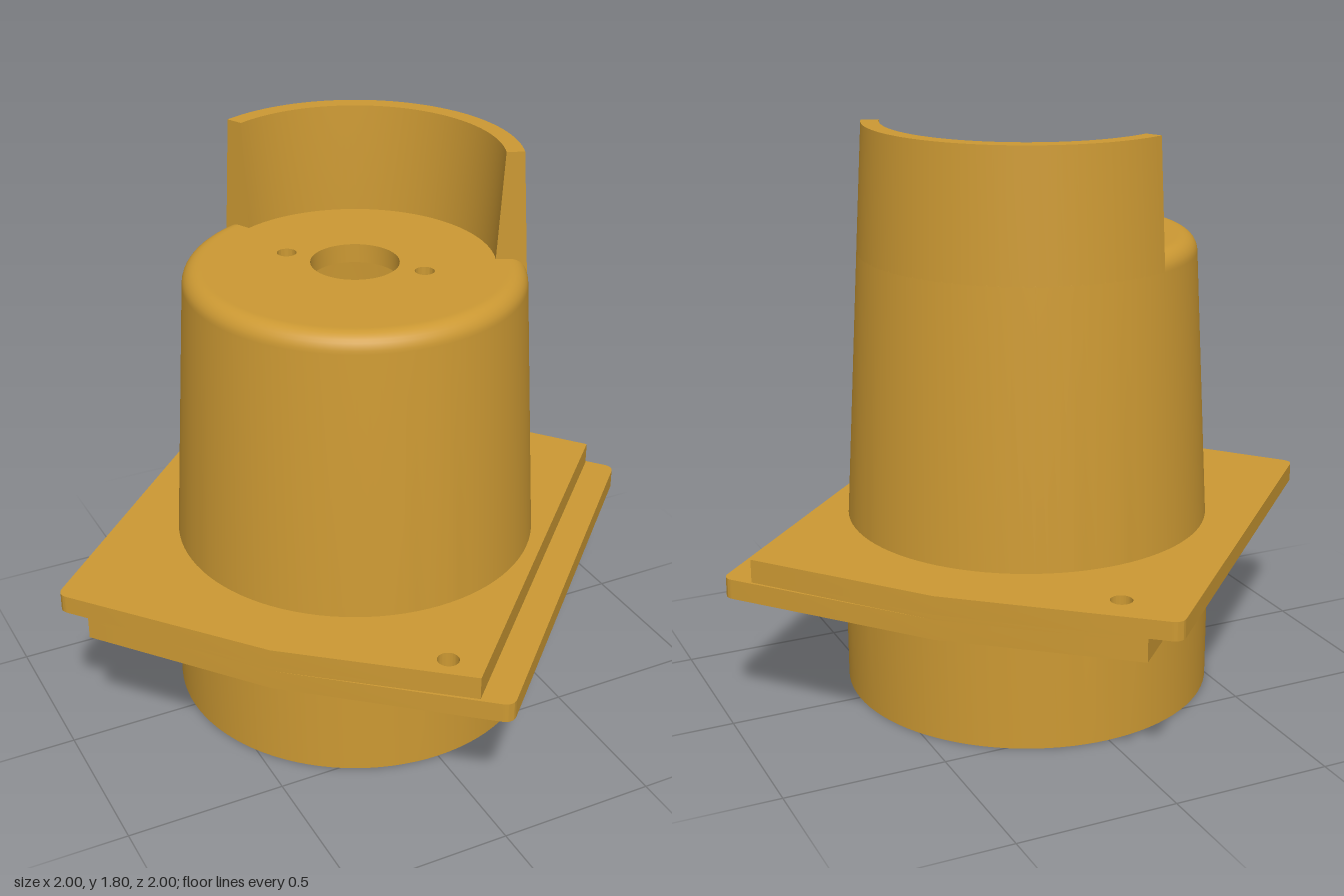
import * as THREE from 'three';
import { toCreasedNormals } from 'three/addons/utils/BufferGeometryUtils.js';

const material = new THREE.MeshStandardMaterial({ color: 0xcc9933 });
const thinMaterial = new THREE.MeshStandardMaterial({ color: 0xcc9933, side: THREE.DoubleSide });
const vec = ([x, y]) => new THREE.Vector2(x, y);

function addMesh(parent, name, geometry, mat = material) {
  const mesh = new THREE.Mesh(toCreasedNormals(geometry, 0.5), mat);
  mesh.name = name;
  parent.add(mesh);
  return mesh;
}

// Polygon in (x, z); corners listed with a third value are rounded by that length
function polygon(corners) {
  const shape = new THREE.Shape();
  corners.forEach(([x, z, r = 0], i) => {
    const p = new THREE.Vector2(x, z);
    const toward = (q) => vec(q).sub(p).setLength(r).add(p);
    const n = corners.length;
    const a = toward(corners[(i + n - 1) % n]);
    const b = toward(corners[(i + 1) % n]);
    if (i === 0) shape.moveTo(a.x, a.y);
    else shape.lineTo(a.x, a.y);
    if (r) shape.quadraticCurveTo(x, z, b.x, b.y);
  });
  shape.closePath();
  return shape;
}

function drill(shape, x, z, r) {
  shape.holes.push(new THREE.Path().absarc(x, z, r, 0, Math.PI * 2, true));
}

// Horizontal plate between two heights
function plate(shape, bottom, top) {
  return new THREE.ExtrudeGeometry(shape, { depth: top - bottom, bevelEnabled: false, curveSegments: 40 })
    .rotateX(Math.PI / 2)
    .translate(0, top, 0);
}

// Flange layer; each lapped edge is either full or cut back
function flangeShape(frontCut, backCut) {
  const r = 0.035;
  const front = frontCut ? [[0.94, -0.07], [-0.07, 0.94]] : [[1.01, 0, r], [0, 1.01, r]];
  const back = backCut ? [[-0.94, 0.07], [0.07, -0.94]] : [[-1.01, 0, r], [0, -1.01, r]];
  const shape = polygon([...front, [-0.55, 0.55], ...back, [0.55, -0.55]]);
  drill(shape, 0, 0, 0.555);
  drill(shape, 0.08, -0.8, 0.033);
  drill(shape, -0.11, 0.82, 0.033);
  return shape;
}

export function createModel() {
  const model = new THREE.Group();

  // Hollow body: straight skirt, tapered upper wall, rounded shoulder
  const profile = [[0.465, 1.4], [0.527, 0.5], [0.527, 0], [0.585, 0], [0.585, 0.49], [0.575, 0.49]];
  const shoulder = 0.055;
  for (let i = 0; i <= 8; i++) {
    const a = (i / 8) * Math.PI / 2;
    profile.push([0.468 + shoulder * Math.cos(a), 1.405 + shoulder * Math.sin(a)]);
  }
  profile.push([0.46, 1.46]);
  addMesh(model, 'body', new THREE.LatheGeometry(profile.map(vec), 96));

  // Top disc with centre bore and two screw holes
  const disc = new THREE.Shape().absarc(0, 0, 0.466, 0, Math.PI * 2, false);
  drill(disc, 0, 0, 0.135);
  drill(disc, -0.155, -0.155, 0.03);
  drill(disc, 0.155, 0.155, 0.03);
  addMesh(model, 'topDisc', plate(disc, 1.4, 1.46));

  // Partial collar rising above the disc, with closed ends
  const collar = new THREE.Group();
  collar.name = 'collar';
  model.add(collar);
  const section = [[0.523, 1.405], [0.5, 1.8], [0.445, 1.8], [0.426, 1.46], [0.426, 1.42]].map(vec);
  const start = THREE.MathUtils.degToRad(66);
  const sweep = THREE.MathUtils.degToRad(139);
  addMesh(collar, 'collarWall', new THREE.LatheGeometry(section, 48, start, sweep));
  for (const angle of [start, start + sweep]) {
    const end = addMesh(collar, 'collarEnd', new THREE.ShapeGeometry(new THREE.Shape(section)), thinMaterial);
    end.rotation.y = angle - Math.PI / 2;
  }

  // Flange with half-lap steps along two opposite edges
  const flange = new THREE.Group();
  flange.name = 'flange';
  model.add(flange);
  addMesh(flange, 'flangeUpper', plate(flangeShape(true, false), 0.502, 0.56));
  addMesh(flange, 'flangeMiddle', plate(flangeShape(true, true), 0.487, 0.502));
  addMesh(flange, 'flangeLower', plate(flangeShape(false, true), 0.425, 0.487));

  return model;
}
